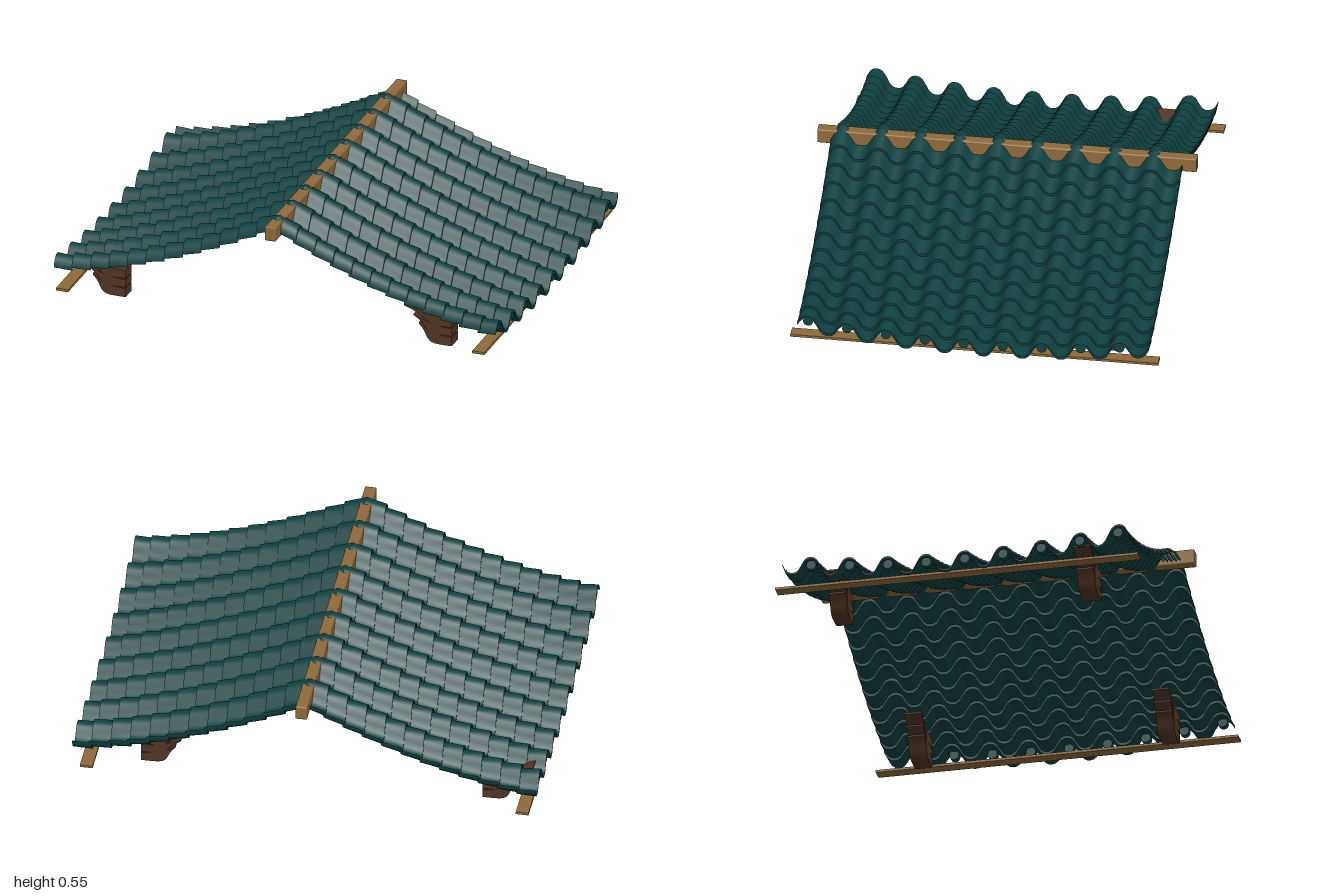
import * as THREE from 'three';
import { toCreasedNormals } from 'three/addons/utils/BufferGeometryUtils.js';
import { RoundedBoxGeometry } from 'three/addons/geometries/RoundedBoxGeometry.js';

const material = (name, color) => {
  const m = new THREE.MeshStandardMaterial({ color });
  m.name = name;
  return m;
};

const COURSES = 12, PITCH = 0.1672, CREST = 0.04, HALF_DEPTH = 0.755;

// Roof section: sagging slope, with the eave corners swept up
const slopeY = (u, z) =>
  0.525 - 0.52 * u + 0.12 * u * u + 0.058 * u ** 3 * (z / 0.75) ** 2;

// Wave across the roof, from -1 in a trough to 1 on a crest
const wave = (z) =>
  Math.tanh(1.3 * Math.cos((2 * Math.PI * (z - CREST)) / PITCH)) / Math.tanh(1.3);

// One horizontal course of wavy tiles, swept along z as a closed four-cornered section
function courseGeometry(side, index, opt) {
  const u0 = index / COURSES;
  const u1 = Math.min(1, (index + 1) / COURSES + opt.overlap);
  const steps = 108, pos = [];
  const ring = (z) => {
    const w = wave(z);
    const top0 = slopeY(u0, z) + 0.033 * w - opt.step / 2;
    const top1 = slopeY(u1, z) + (0.033 + opt.flare) * w + opt.step / 2;
    return [[u0, top0], [u1, top1], [u1, top1 - opt.thick], [u0, top0 - opt.thick]]
      .map(([u, y]) => [side * u, y, z]);
  };
  const quad = (a, b, c, d) => {
    const q = side > 0 ? [a, b, c, a, c, d] : [a, c, b, a, d, c];
    q.forEach((p) => pos.push(...p));
  };
  let last = ring(-HALF_DEPTH);
  quad(last[0], last[1], last[2], last[3]);
  for (let j = 1; j <= steps; j++) {
    const next = ring(-HALF_DEPTH + (2 * HALF_DEPTH * j) / steps);
    for (let k = 0; k < 4; k++) {
      const n = (k + 1) % 4;
      quad(last[k], next[k], next[n], last[n]);
    }
    last = next;
  }
  quad(last[3], last[2], last[1], last[0]);
  const g = new THREE.BufferGeometry();
  g.setAttribute('position', new THREE.Float32BufferAttribute(pos, 3));
  return toCreasedNormals(g, 0.75);
}

// One corbel tier: thick at the right, with a curved tip reaching left
function tierGeometry(tipX, tipY, top, bottom, width) {
  const s = new THREE.Shape();
  s.moveTo(0, bottom);
  s.lineTo(0, top);
  s.bezierCurveTo(-0.07, top + 0.002, -0.11, top + 0.012, tipX, tipY);
  s.lineTo(tipX, tipY - 0.007);
  s.bezierCurveTo(-0.1, top - 0.002, -0.13, bottom, -0.05, bottom);
  s.closePath();
  const g = new THREE.ExtrudeGeometry(s, { depth: width, bevelEnabled: false, curveSegments: 8 });
  return toCreasedNormals(g.translate(0, 0, -width / 2), 0.6);
}

export function createModel() {
  const model = new THREE.Group();
  const teal = material('tile teal', 0x104242);
  const wood = material('light wood', 0x8f6a3a);
  const darkWood = material('dark wood', 0x523524);

  const add = (name, geometry, mat, parent = model, x = 0, y = 0, z = 0) => {
    const mesh = new THREE.Mesh(geometry, mat);
    mesh.name = name;
    mesh.position.set(x, y, z);
    parent.add(mesh);
    return mesh;
  };

  // Tiled slopes: the left one is closely lapped, the right one looser
  for (const side of [1, -1]) {
    const slope = new THREE.Group();
    slope.name = side > 0 ? 'leftSlope' : 'rightSlope';
    model.add(slope);
    const opt = side > 0
      ? { step: 0.014, flare: 0.0, thick: 0.013, overlap: 0.012 }
      : { step: 0.015, flare: 0.006, thick: 0.008, overlap: 0.003 };
    for (let i = 0; i < COURSES; i++) add('tileCourse', courseGeometry(side, i, opt), teal, slope);

    // Round caps closing the crests at the eave
    const cap = new THREE.CylinderGeometry(0.021, 0.021, 0.03, 16).rotateZ(Math.PI / 2);
    for (let k = -4; k <= 4; k++) {
      const z = CREST + k * PITCH;
      add('eaveCap', cap, teal, slope, side * 0.98, slopeY(1, z) + 0.012, z);
    }
  }

  // Ridge beam and eave boards
  add('ridgeBeam', new RoundedBoxGeometry(0.05, 0.065, 1.63, 2, 0.006), wood, model, 0, 0.508, 0);
  for (const x of [-0.95, 0.933])
    add('eaveBoard', new THREE.BoxGeometry(0.055, 0.011, 1.58), wood, model, x, 0.09, 0);

  // Three-tier corbel brackets
  const tiers = [
    [-0.215, 0.165, 0.124, 0.086],
    [-0.172, 0.126, 0.081, 0.045],
    [-0.148, 0.09, 0.04, 0],
  ].map((t) => tierGeometry(...t, 0.075));
  for (const x of [-0.74, 0.735])
    for (const z of [-0.54, 0.54]) {
      const bracket = new THREE.Group();
      bracket.name = 'bracket';
      bracket.position.set(x, 0, z);
      model.add(bracket);
      tiers.forEach((g) => add('bracketTier', g, darkWood, bracket));
    }

  return model;
}
